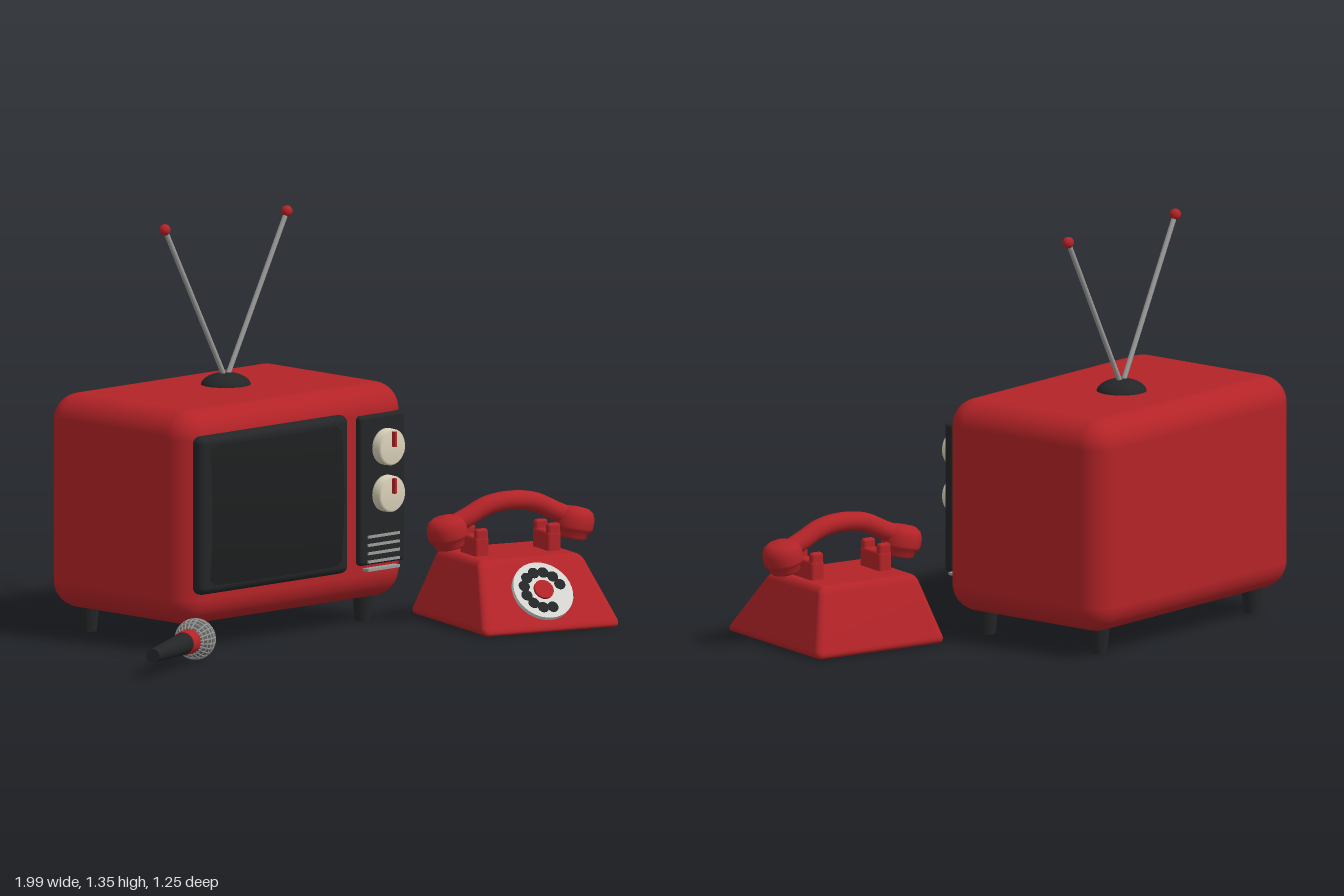
import * as THREE from 'three';
import { mergeVertices } from 'three/addons/utils/BufferGeometryUtils.js';
import { RoundedBoxGeometry } from 'three/addons/geometries/RoundedBoxGeometry.js';

const mat = (name, color, side = THREE.FrontSide) => {
  const m = new THREE.MeshStandardMaterial({ color, side });
  m.name = name;
  return m;
};

export function createModel() {
  const red = mat('red', 0xb32327);
  const black = mat('black', 0x232526);
  const glass = mat('screen black', 0x1d1e1f, THREE.DoubleSide);
  const cream = mat('cream', 0xd8d0b9);
  const white = mat('dial white', 0xd6d6d2);
  const metal = mat('metal', 0x9a9a98);
  const darkMetal = mat('dark metal', 0x5c5c5c);

  const add = (parent, name, geo, material, x = 0, y = 0, z = 0) => {
    const mesh = new THREE.Mesh(geo, material);
    mesh.name = name;
    mesh.position.set(x, y, z);
    parent.add(mesh);
    return mesh;
  };
  const group = (parent, name, x = 0, y = 0, z = 0) => {
    const g = new THREE.Group();
    g.name = name;
    g.position.set(x, y, z);
    parent.add(g);
    return g;
  };
  const rbox = (w, h, d, r, s = 4) => new RoundedBoxGeometry(w, h, d, s, r);
  const lathe = (pts, n = 32) => new THREE.LatheGeometry(pts.map(p => new THREE.Vector2(...p)), n);
  const rod = (parent, name, a, b, r, material) => {
    const dir = b.clone().sub(a);
    const m = add(parent, name, new THREE.CylinderGeometry(r, r, dir.length(), 12), material);
    m.position.copy(a).addScaledVector(dir, 0.5);
    m.quaternion.setFromUnitVectors(new THREE.Vector3(0, 1, 0), dir.normalize());
  };

  const model = new THREE.Group();
  model.name = 'televisionTelephoneAndMicrophone';

  // Television cabinet and legs
  const tv = group(model, 'television');
  add(tv, 'cabinet', rbox(1.025, 0.71, 0.67, 0.09, 6), red, -0.073, 0.436, -0.295);
  for (const x of [-0.47, 0.322]) for (const z of [-0.06, -0.53])
    add(tv, 'leg', new THREE.CylinderGeometry(0.036, 0.026, 0.1, 20), black, x, 0.05, z);

  // Screen surround and bulging screen
  add(tv, 'screenSurround', rbox(0.68, 0.525, 0.06, 0.026), black, -0.2, 0.453, 0.04);
  const screen = new THREE.PlaneGeometry(0.6, 0.465, 16, 16);
  const sp = screen.attributes.position;
  for (let i = 0; i < sp.count; i++) {
    const u = sp.getX(i) / 0.3, v = sp.getY(i) / 0.2325;
    sp.setZ(i, 0.014 * (2 - u * u - v * v));
  }
  screen.computeVertexNormals();
  add(tv, 'screen', screen, glass, -0.2, 0.453, 0.068);

  // Control panel with knobs and speaker slats
  add(tv, 'controlPanel', rbox(0.205, 0.495, 0.04, 0.012), black, 0.297, 0.453, 0.042);
  const knobGeo = lathe([[0, 0], [0.045, 0], [0.045, 0.01], [0.06, 0.012], [0.061, 0.018], [0.06, 0.042], [0.054, 0.049], [0, 0.05]]);
  for (const y of [0.595, 0.44]) {
    const knob = group(tv, 'knob', 0.297, y, 0.06);
    add(knob, 'knobBody', knobGeo, cream).rotation.x = Math.PI / 2;
    add(knob, 'knobPointer', new THREE.BoxGeometry(0.011, 0.05, 0.014), red, 0, 0.028, 0.055);
  }
  for (let i = 0; i < 5; i++)
    add(tv, 'speakerSlat', new THREE.BoxGeometry(0.145, 0.009, 0.03), metal, 0.297, 0.3 - i * 0.0275, 0.052);

  // Antenna
  const antenna = group(tv, 'antenna', -0.035, 0.785, -0.335);
  const dome = new THREE.SphereGeometry(0.083, 32, 12, 0, Math.PI * 2, 0, Math.PI / 2);
  dome.scale(1, 0.54, 1);
  add(antenna, 'antennaBase', dome, black);
  for (const s of [-1, 1]) {
    const tip = new THREE.Vector3(s * 0.278, 0.548, 0);
    rod(antenna, 'antennaRod', new THREE.Vector3(0, 0.02, 0), tip, 0.0085, metal);
    add(antenna, 'antennaTip', new THREE.SphereGeometry(0.019, 16, 12), red, tip.x, tip.y, 0);
  }

  // Telephone body: a rounded box narrowed towards the top, steeper at the back
  const phone = group(model, 'telephone', 0.68, 0, 0.29);
  phone.rotation.y = -0.308;
  const H = 0.225;
  let body = rbox(0.51, H, 0.57, 0.026, 5);
  body.translate(0, H / 2, 0);
  body.deleteAttribute('uv');
  body.deleteAttribute('normal');
  body = mergeVertices(body, 1e-5);
  const bp = body.attributes.position;
  for (let i = 0; i < bp.count; i++) {
    const t = bp.getY(i) / H;
    bp.setX(i, bp.getX(i) * (1 - 0.26 * t));
    bp.setZ(i, bp.getZ(i) * (1 - 0.47 * t) - 0.046 * t);
  }
  body.computeVertexNormals();
  add(phone, 'telephoneBody', body, red);

  // Rotary dial lying on the sloping front
  const dial = group(phone, 'dial', 0, 0.12, 0.19);
  dial.rotation.x = -Math.atan2(0.18, 0.225);
  const disc = (name, r, d, m, x, y, z) =>
    add(dial, name, new THREE.CylinderGeometry(r, r, d, 32), m, x, y, z).rotateX(Math.PI / 2);
  disc('dialPlate', 0.105, 0.03, white, 0, 0, 0);
  disc('dialCentre', 0.034, 0.012, red, 0, 0, 0.017);
  for (let i = 0; i < 10; i++) {
    const a = 0.25 + i * 0.52;
    disc('fingerHole', 0.019, 0.006, black, 0.067 * Math.cos(a), 0.067 * Math.sin(a), 0.015);
  }

  // Cradle and handset
  const handset = group(phone, 'handset', 0, 0, -0.038);
  const cup = lathe([[0, -0.055], [0.043, -0.055], [0.05, -0.048], [0.052, -0.03], [0.062, -0.026],
    [0.066, -0.015], [0.066, 0.015], [0.058, 0.036], [0.04, 0.048], [0, 0.052]]);
  for (const s of [-1, 1]) {
    add(phone, 'cradleBlock', rbox(0.05, 0.075, 0.12, 0.01, 3), red, s * 0.132, 0.25, -0.038);
    for (const z of [-0.084, 0.008])
      add(phone, 'cradleProng', rbox(0.046, 0.07, 0.026, 0.01, 3), red, s * 0.132, 0.28, z);
    add(handset, 'handsetCup', cup, red, s * 0.232, 0.305, 0).rotation.z = -s * 0.2;
  }
  const arc = new THREE.CatmullRomCurve3(
    [[-0.235, 0.315], [-0.165, 0.345], [-0.085, 0.382], [0, 0.393], [0.085, 0.382], [0.165, 0.345], [0.235, 0.315]]
      .map(([x, y]) => new THREE.Vector3(x, y, 0)));
  add(handset, 'handsetGrip', new THREE.TubeGeometry(arc, 32, 0.032, 16), red);

  // Microphone, lying along its own y axis with the head at the origin
  const mic = group(model, 'microphone', -0.648, 0.072, 0.153);
  mic.quaternion.setFromUnitVectors(new THREE.Vector3(0, 1, 0), new THREE.Vector3(-0.347, 0, 0.155).normalize());
  add(mic, 'microphoneHandle', new THREE.CylinderGeometry(0.023, 0.037, 0.275, 24), black, 0, 0.235, 0);
  add(mic, 'microphoneCollar', new THREE.CylinderGeometry(0.039, 0.041, 0.055, 24), red, 0, 0.08, 0);
  add(mic, 'microphoneHead', new THREE.SphereGeometry(0.0655, 32, 20), darkMetal);
  // Wire mesh over the head
  for (let i = 1; i < 12; i++) {
    const a = i * Math.PI / 12;
    add(mic, 'meshRing', new THREE.TorusGeometry(0.0655 * Math.sin(a), 0.003, 5, 28), metal, 0, 0.0655 * Math.cos(a), 0)
      .rotation.x = Math.PI / 2;
    add(mic, 'meshHoop', new THREE.TorusGeometry(0.0655, 0.003, 5, 32), metal).rotation.y = a;
  }
  return model;
}
